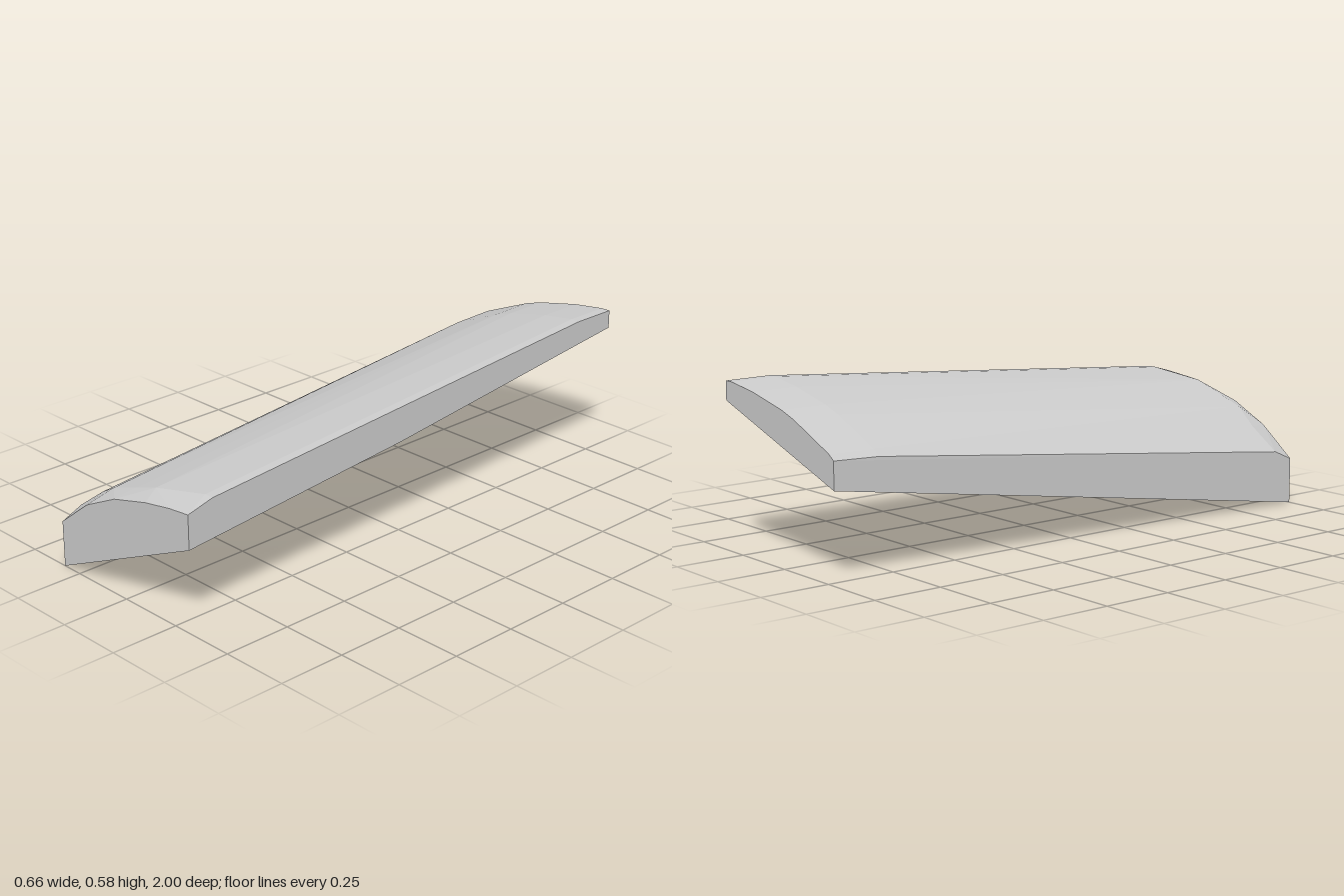
import * as THREE from 'three';
import { ConvexGeometry } from 'three/addons/geometries/ConvexGeometry.js';

export function createModel() {
  const group = new THREE.Group();
  group.name = 'curvedSlab';
  const material = new THREE.MeshStandardMaterial({ color: 0xcccccc, flatShading: true });

  // Crowned top: cross-sections of [x, y, z] from front to back
  const frontEdge = [[-0.33, 0.165], [-0.19, 0.273], [-0.04, 0.345], [0.03, 0.363],
    [0.12, 0.387], [0.24, 0.408], [0.33, 0.417]].map(([x, y]) => [x, y, 1]);
  const frontRidge = [[-0.33, 0.2, 0.92], [-0.22, 0.282, 0.91], [-0.12, 0.339, 0.94],
    [0, 0.38, 0.94], [0.1, 0.413, 0.94], [0.295, 0.443, 0.9], [0.33, 0.443, 0.9]];
  const backEdge = [[-0.29, 0.4], [-0.265, 0.418], [-0.07, 0.5], [0, 0.522],
    [0.17, 0.559], [0.295, 0.576], [0.33, 0.576]].map(([x, y]) => [x, y, -1]);
  // The crown eases off just before the back end
  const backRidge = [[-0.293, 0.394], [-0.265, 0.414], [-0.07, 0.498], [0, 0.521],
    [0.17, 0.559], [0.295, 0.577], [0.33, 0.577]].map(([x, y]) => [x, y, -0.83]);

  // Sloping underside with a slight bend on its high side
  const underside = [[-0.33, 0, 1], [0.33, 0.295, 1], [0.33, 0.38, 0.08],
    [0.33, 0.51, -1], [-0.29, 0.305, -1]];

  const points = [...frontEdge, ...frontRidge, ...backRidge, ...backEdge, ...underside]
    .map((p) => new THREE.Vector3(...p));
  const slab = new THREE.Mesh(new ConvexGeometry(points), material);
  slab.name = 'slab';
  group.add(slab);
  return group;
}
